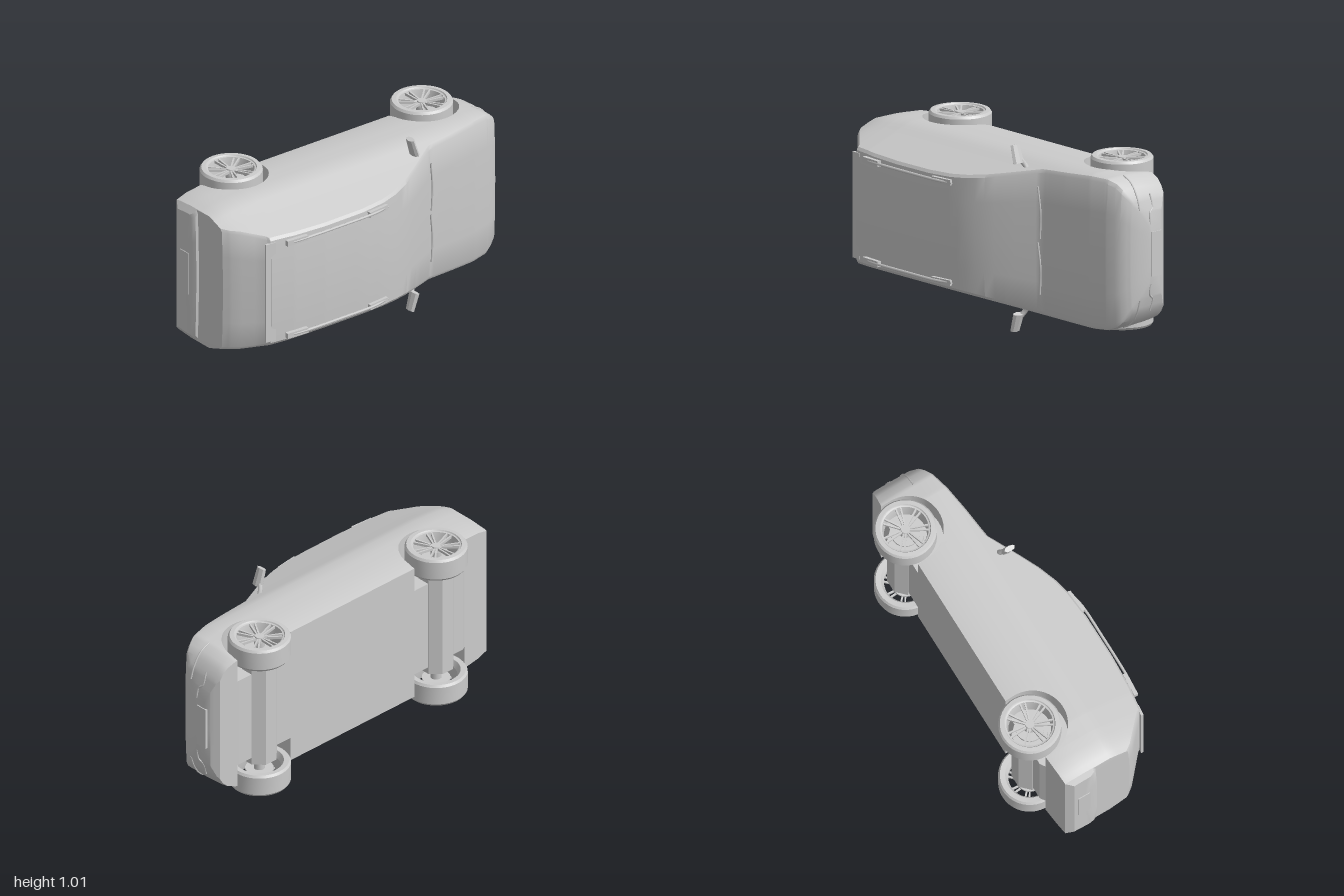
import * as THREE from 'three';
import { toCreasedNormals } from 'three/addons/utils/BufferGeometryUtils.js';

// The car lies on its side: x runs to the nose, y across the width, z to the roof.
const grey = new THREE.MeshStandardMaterial({ color: 0xcccccc, side: THREE.DoubleSide });
const faceted = new THREE.MeshStandardMaterial({ color: 0xcccccc, flatShading: true });

const AXLES = [-0.61, 0.65], ARCH_R = 0.187, ARCH_Z = -0.205;

// piecewise linear lookup in a list of [key, value]
function lerpTable(table, k) {
  if (k <= table[0][0]) return table[0][1];
  for (let i = 1; i < table.length; i++) {
    const [k0, v0] = table[i - 1], [k1, v1] = table[i];
    if (k <= k1) return v0 + (v1 - v0) * (k - k0) / (k1 - k0);
  }
  return table[table.length - 1][1];
}

const TOP = [[-0.995, -0.06], [-0.985, -0.035], [-0.972, -0.03], [-0.97, 0.17], [-0.94, 0.21], [-0.8, 0.335],
  [-0.79, 0.352], [-0.65, 0.37], [-0.45, 0.38], [-0.2, 0.378], [-0.05, 0.364], [0.05, 0.34], [0.15, 0.3], [0.25, 0.247],
  [0.35, 0.19], [0.42, 0.15], [0.47, 0.143], [0.6, 0.128], [0.75, 0.105], [0.86, 0.078], [0.93, 0.045],
  [0.965, 0.0], [0.982, -0.05], [0.995, -0.09]];
const BOTTOM = [[-0.995, -0.18], [-0.97, -0.22], [-0.8, -0.235], [-0.77, -0.255], [0.83, -0.255], [0.95, -0.24],
  [0.98, -0.2], [0.995, -0.17]];
const WIDTH = [[-0.995, 0.35], [-0.97, 0.385], [-0.9, 0.405], [-0.8, 0.415], [-0.7, 0.42], [0.75, 0.42],
  [0.85, 0.408], [0.9, 0.385], [0.93, 0.355], [0.96, 0.3], [0.98, 0.235], [0.995, 0.16]];
const TAPER = [[-0.255, 0.95], [-0.2, 0.98], [-0.1, 1], [0.05, 1], [0.1, 0.96], [0.13, 0.93], [0.365, 0.725]];
const halfWidth = (x, z) => lerpTable(WIDTH, x) * lerpTable(TAPER, z);

// half of the cross-section at x, from the floor centre to the roof centre
function section(x) {
  const top = lerpTable(TOP, x), floor = lerpTable(BOTTOM, x), edge = top - 0.02;
  let low = floor;
  for (const a of AXLES) {
    const d = Math.abs(x - a);
    if (d <= ARCH_R) low = Math.max(floor, ARCH_Z + Math.sqrt(ARCH_R ** 2 - d * d));
  }
  const well = Math.min(0.26, halfWidth(x, low));
  const pts = [[0, floor], [well, floor], [well, low]];
  for (const level of [-0.255, -0.2, -0.1, -0.02, 0.05, 0.1, 0.13, 0.2, 0.28, 0.365]) {
    const z = Math.min(Math.max(level, low), edge);
    pts.push([halfWidth(x, z), z]);
  }
  const w = halfWidth(x, edge);
  pts.push([w * 0.95, top - 0.009], [w * 0.55, top - 0.002], [0, top]);
  return pts;
}

// body shell lofted along x, with the wheel wells cut by the lower edge
function bodyGeometry() {
  const xs = new Set([...TOP, ...BOTTOM, ...WIDTH].map(p => p[0]));
  for (let x = -0.95; x < 0.95; x += 0.05) xs.add(x);
  for (const a of AXLES) {
    for (let i = 0; i <= 24; i++) xs.add(a - ARCH_R * Math.cos(i * Math.PI / 24) * 0.99999);
    xs.add(a - ARCH_R - 0.001).add(a + ARCH_R + 0.001);
  }
  const cols = [...xs].sort((a, b) => a - b);
  const pos = [], idx = [];
  let n = 0;
  for (const x of cols) {
    const half = section(x);
    const ring = [...half, ...half.slice(1, -1).reverse().map(([y, z]) => [-y, z])];
    n = ring.length;
    for (const [y, z] of ring) pos.push(x, y, z);
  }
  const last = (cols.length - 1) * n, c0 = cols.length * n;
  pos.push(cols[0], 0, -0.12, cols[cols.length - 1], 0, -0.13);
  for (let j = 0; j < n; j++) {
    const k = (j + 1) % n;
    for (let r = 0; r < last; r += n) idx.push(r + j, r + k, r + n + j, r + k, r + n + k, r + n + j);
    idx.push(c0, k, j, c0 + 1, last + j, last + k);
  }
  const g = new THREE.BufferGeometry();
  g.setAttribute('position', new THREE.Float32BufferAttribute(pos, 3));
  g.setIndex(idx);
  return toCreasedNormals(g, 0.5);
}

function add(parent, name, geometry, x = 0, y = 0, z = 0, material = grey) {
  const m = new THREE.Mesh(geometry, material);
  m.name = name;
  m.position.set(x, y, z);
  parent.add(m);
  return m;
}

const tube = (pts, r, seg = 24) => new THREE.TubeGeometry(
  new THREE.CatmullRomCurve3(pts.map(p => new THREE.Vector3(...p))), seg, r, 6);

// wheel turning about y, outer face towards +y
function makeWheel() {
  const wheel = new THREE.Group();
  wheel.name = 'wheel';
  const lathe = pts => toCreasedNormals(
    new THREE.LatheGeometry(pts.map(p => new THREE.Vector2(...p)), 40), 0.5);
  add(wheel, 'tire', lathe([[0.128, -0.063], [0.156, -0.065], [0.165, -0.052], [0.165, 0.05], [0.156, 0.063],
    [0.134, 0.064], [0.13, 0.058]]));
  add(wheel, 'rim', lathe([[0.13, 0.058], [0.122, 0.056], [0.116, 0.03], [0.112, -0.03], [0.128, -0.063]]));
  add(wheel, 'hub', new THREE.CylinderGeometry(0.024, 0.03, 0.03, 20), 0, 0.04, 0);
  add(wheel, 'brakeDisc', new THREE.CylinderGeometry(0.075, 0.075, 0.012, 28), 0, -0.01, 0);
  add(wheel, 'axleStub', new THREE.CylinderGeometry(0.03, 0.03, 0.11, 12), 0, -0.03, 0);
  for (let i = 0; i < 7; i++) {
    const spoke = new THREE.Group();
    spoke.name = 'spoke';
    spoke.rotation.y = i * Math.PI * 2 / 7 + Math.PI / 2;
    for (const s of [-1, 1]) {
      const bar = add(spoke, 'spokeBar', new THREE.BoxGeometry(0.105, 0.014, 0.009), 0.069, 0.045, s * 0.009);
      bar.rotation.set(0, -s * 0.09, 0.06);
    }
    wheel.add(spoke);
  }
  return wheel;
}

// parts on the +y side, mirrored for the other
function makeSide(s) {
  const side = new THREE.Group();
  side.name = s > 0 ? 'upperSide' : 'lowerSide';
  for (const a of AXLES) {
    const wheel = makeWheel();
    wheel.position.set(a, 0.39, -0.22);
    side.add(wheel);
  }
  // roof rail with thicker feet
  add(side, 'roofRail', tube([[-0.7, 0.268, 0.372], [-0.6, 0.27, 0.383], [-0.35, 0.27, 0.386],
    [-0.12, 0.27, 0.381], [-0.03, 0.268, 0.36]], 0.008));
  for (const [x, z, tilt] of [[-0.64, 0.374, -0.07], [-0.1, 0.368, 0.12]]) {
    add(side, 'railFoot', new THREE.BoxGeometry(0.13, 0.03, 0.022), x, 0.27, z).rotation.y = tilt;
  }
  // mirror housing, tapered towards its tip, on a short stem
  const housing = new THREE.CylinderGeometry(0.031, 0.037, 0.1, 8);
  housing.scale(0.5, 1, 1);
  const mirror = add(side, 'mirrorHousing', housing, 0.275, 0.452, 0.18, faceted);
  mirror.rotation.z = 0.3;
  add(side, 'mirrorStem', tube([[0.315, 0.37, 0.14], [0.3, 0.395, 0.147], [0.285, 0.425, 0.165]], 0.014, 8));
  // seam running from the lamp round the front corner
  add(side, 'noseTrim', tube([0.85, 0.9, 0.93, 0.96, 0.978].map(x => [x, halfWidth(x, -0.05), -0.05]), 0.005));
  add(side, 'bumperTrim', tube([[0.955, 0.315, -0.14], [0.975, 0.245, -0.14], [0.984, 0.22, -0.115],
    [0.993, 0.16, -0.11]], 0.005));
  side.scale.y = s;
  return side;
}

export function createModel() {
  const car = new THREE.Group();
  car.name = 'car';
  car.position.y = 0.5025;
  add(car, 'body', bodyGeometry());
  for (const s of [1, -1]) car.add(makeSide(s));
  // eight-sided axle housings
  for (const a of AXLES) {
    const g = new THREE.CylinderGeometry(0.097, 0.097, 0.6, 8);
    g.rotateY(Math.PI / 8);
    add(car, 'axle', g, a, 0, -0.22, faceted);
  }
  add(car, 'frontPlate', new THREE.BoxGeometry(0.012, 0.24, 0.07), 0.994, 0, -0.15);
  add(car, 'rearPlate', new THREE.BoxGeometry(0.01, 0.24, 0.07), -0.994, 0, -0.12);
  add(car, 'spoiler', new THREE.BoxGeometry(0.06, 0.57, 0.014), -0.79, 0, 0.341).rotation.y = -0.1;
  // wipers resting at the foot of the windscreen
  for (const y of [-0.28, 0.02]) {
    add(car, 'wiper', tube([[0.425, y, 0.152], [0.43, y + 0.14, 0.153], [0.415, y + 0.28, 0.158]], 0.005, 12));
  }
  return car;
}
